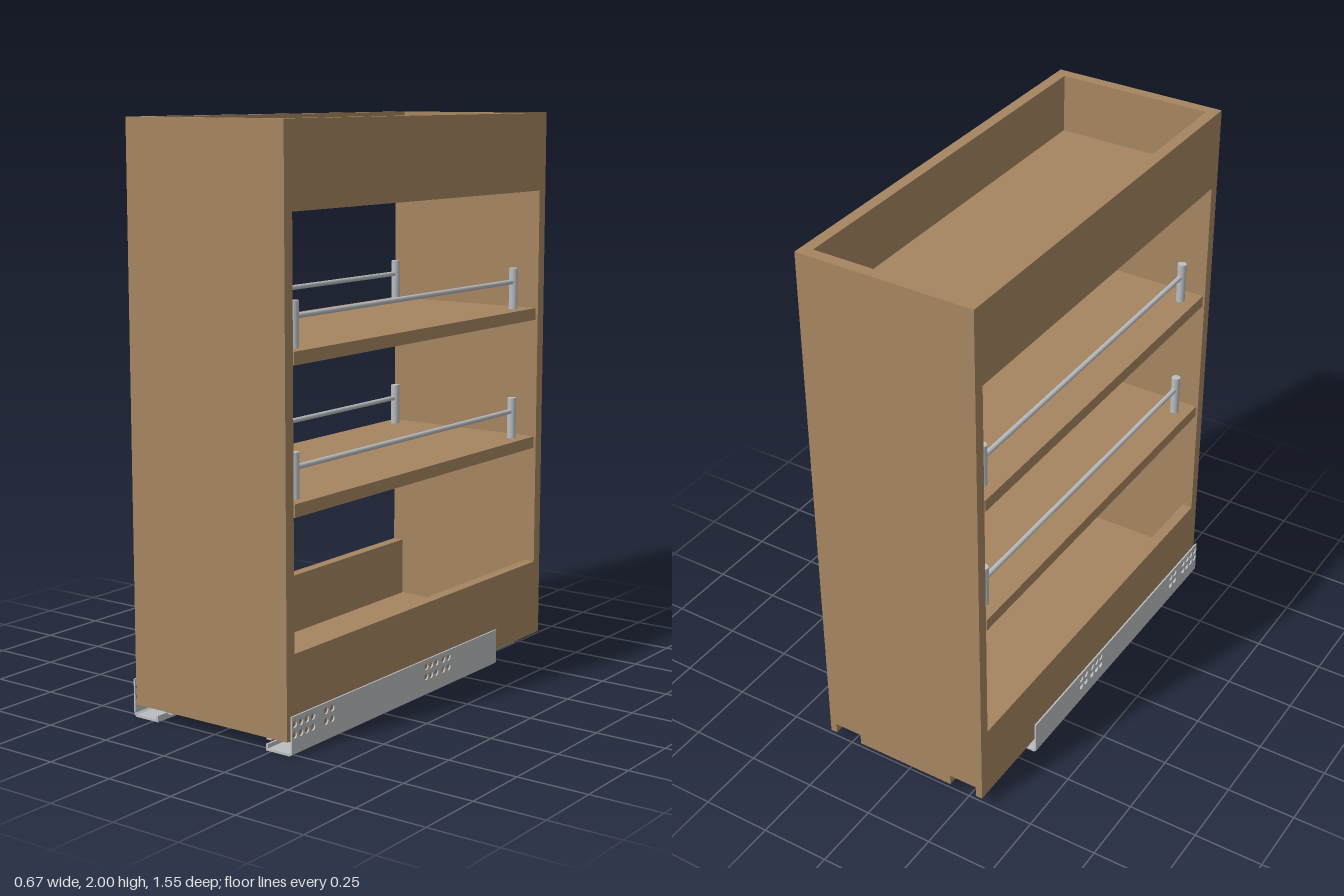
import * as THREE from 'three';

export function createModel() {
  const root = new THREE.Group();
  const wood = new THREE.MeshStandardMaterial({ color: 0xa68561 });
  wood.name = 'wood';
  const metal = new THREE.MeshStandardMaterial({ color: 0xbabec1 });
  metal.name = 'metal';

  const add = (name, geometry, material) => {
    const mesh = new THREE.Mesh(geometry, material);
    mesh.name = name;
    root.add(mesh);
    return mesh;
  };
  // Box given by its limits on each axis
  const box = (name, material, [x0, x1], [y0, y1], [z0, z1]) =>
    add(name, new THREE.BoxGeometry(Math.abs(x1 - x0), y1 - y0, z1 - z0), material)
      .position.set((x0 + x1) / 2, (y0 + y1) / 2, (z0 + z1) / 2);
  const polygon = (points) => new THREE.Shape(points.map(([x, y]) => new THREE.Vector2(x, y)));
  const extrude = (shape, depth) =>
    new THREE.ExtrudeGeometry(shape, { depth, bevelEnabled: false, curveSegments: 6 });

  const W = 0.32, D = 0.775, T = 0.04, inner = D - T;

  // Front panel, and back panel notched for the runners
  box('frontPanel', wood, [-W, W], [0.05, 2], [inner, D]);
  const back = polygon([
    [-W, 0.05], [-0.295, 0.05], [-0.295, 0.09], [-0.19, 0.09], [-0.19, 0.05],
    [0.19, 0.05], [0.19, 0.09], [0.295, 0.09], [0.295, 0.05], [W, 0.05], [W, 2], [-W, 2],
  ]);
  add('backPanel', extrude(back, T), wood).position.z = -D;

  // Tray floors
  box('upperTrayFloor', wood, [-W + T, W - T], [1.75, 1.79], [-inner, inner]);
  box('lowerTrayFloor', wood, [-W + T, W - T], [0.08, 0.115], [-inner, inner]);

  // Shelves
  const shelfTops = [0.81, 1.29];
  for (const y of shelfTops) box('shelf', wood, [-0.317, 0.317], [y - 0.043, y], [-0.725, 0.725]);

  for (const s of [1, -1]) {
    // Low side boards of the two trays
    box('upperTraySide', wood, [s * (W - T), s * W], [1.72, 2], [-inner, inner]);
    box('lowerTraySide', wood, [s * (W - T), s * W], [0.05, 0.33], [-inner, inner]);

    // Shelf rails on two posts
    for (const y of shelfTops) {
      for (const z of [-0.655, 0.655]) {
        add('railPost', new THREE.CylinderGeometry(0.016, 0.016, 0.15, 20), metal)
          .position.set(s * 0.262, y + 0.075, z);
      }
      const rail = add('rail', new THREE.CylinderGeometry(0.009, 0.009, 1.31, 14), metal);
      rail.rotation.x = Math.PI / 2;
      rail.position.set(s * 0.262, y + 0.1, 0);
    }

    // Runner mounting plate with screw holes
    const plate = polygon([[-0.447, 0.012], [0.77, 0.012], [0.77, 0.135], [-0.447, 0.135]]);
    for (const z of [0.755, 0.723, 0.692, 0.66, 0.59, 0.557, 0.01, -0.02, -0.053, -0.097, -0.13]) {
      for (const y of [0.073, 0.109]) {
        const hole = new THREE.Path();
        hole.absarc(z, y, 0.012, 0, Math.PI * 2, true);
        plate.holes.push(hole);
      }
    }
    const plateGeometry = extrude(plate, 0.006).rotateY(-Math.PI / 2);
    add('runnerPlate', plateGeometry, metal).position.x = s > 0 ? 0.336 : -0.33;

    // Outer runner tray with a turned-up inner lip
    const tray = polygon([
      [0.336, 0.05], [0.336, 0.012], [0.326, 0.004], [0.23, 0.004], [0.23, 0.026], [0.238, 0.026],
      [0.238, 0.012], [0.322, 0.012], [0.33, 0.018], [0.33, 0.05],
    ].map(([x, y]) => [s * x, y]));
    add('outerRunner', extrude(tray, 1.217), metal).position.z = -0.447;

    // Middle member and inner channel
    box('middleRunner', metal, [s * 0.238, s * 0.272], [0.02, 0.045], [-0.68, 0.7]);
    const channel = polygon([
      [0.2, 0.024], [0.2, 0.074], [0.279, 0.074], [0.279, 0.034], [0.272, 0.034],
      [0.272, 0.066], [0.208, 0.066], [0.208, 0.032], [0.222, 0.032], [0.222, 0.024],
    ].map(([x, y]) => [s * x, y]));
    add('innerRunner', extrude(channel, 1.45), metal).position.z = -0.72;

    // Front latch under the floor
    const latch = polygon([
      [0.2, 0.56], [0.16, 0.56], [0.1, 0.64], [0.1, 0.73], [0.2, 0.73],
    ].map(([x, z]) => [s * x, z]));
    add('runnerLatch', extrude(latch, 0.016).rotateX(Math.PI / 2), metal).position.y = 0.06;
    box('latchLever', metal, [s * 0.185, s * 0.2], [0.03, 0.046], [0.6, 0.73]);
  }
  return root;
}
